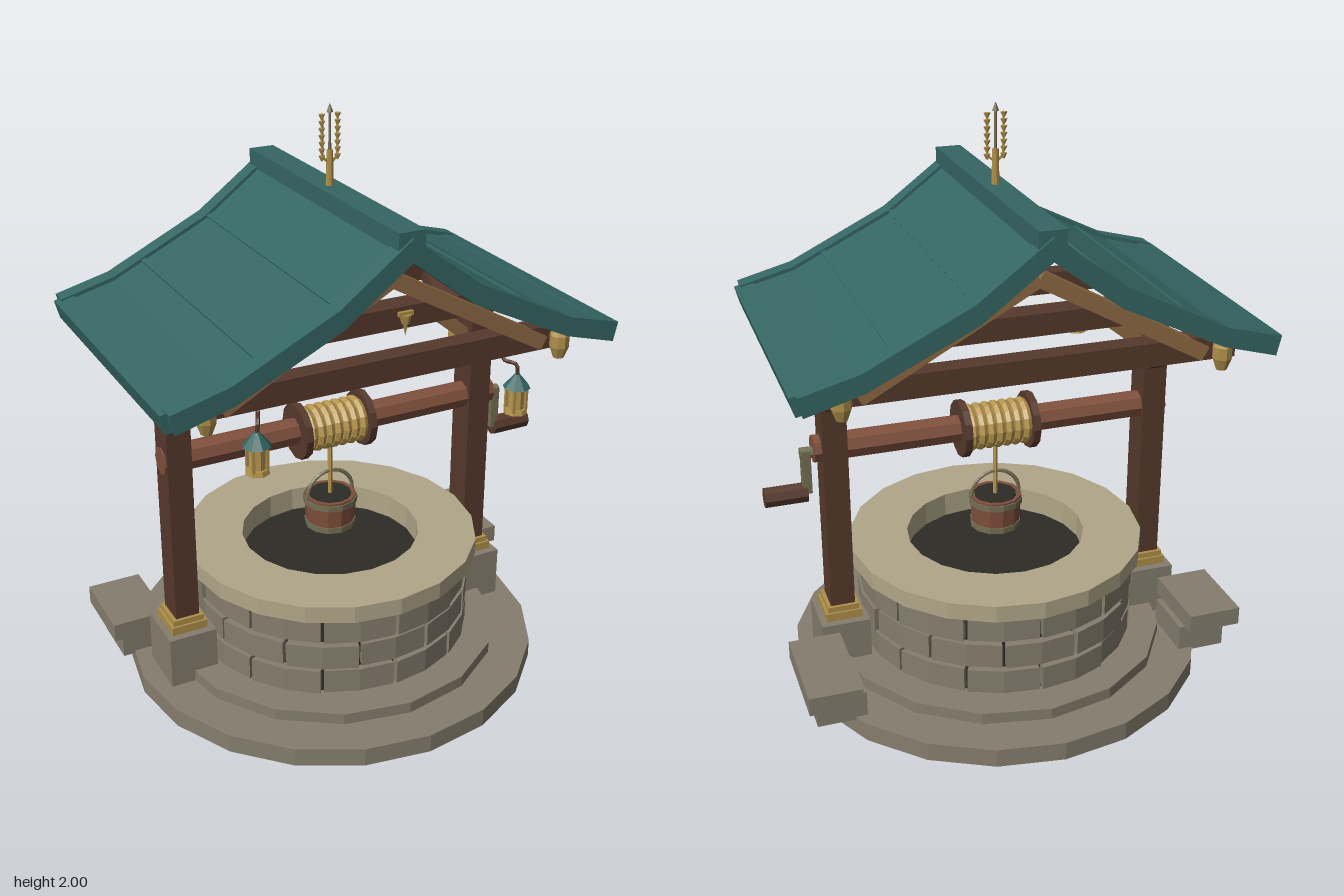
import * as THREE from 'three';

const mat = (name, color) => {
  const m = new THREE.MeshStandardMaterial({ color });
  m.name = name;
  return m;
};

export function createModel() {
  const stone = mat('stone', 0x857d6d), rimStone = mat('pale rim stone', 0xb0a688);
  const darkWood = mat('dark wood', 0x56392c), redWood = mat('red wood', 0x7f4f3c);
  const paleWood = mat('pale wood', 0x8f6a44), teal = mat('teal roof', 0x356663);
  const brass = mat('brass', 0xb0904a), rope = mat('rope', 0xb8964f);
  const iron = mat('olive iron', 0x757054), dark = mat('well shadow', 0x2c2b25);

  const root = new THREE.Group();
  root.name = 'well';
  const well = new THREE.Group();
  well.name = 'wellParts';
  well.position.x = -0.013;
  root.add(well);

  // Faceted mesh helper
  const add = (name, geo, material, x = 0, y = 0, z = 0, parent = well) => {
    const g = geo.index ? geo.toNonIndexed() : geo;
    g.computeVertexNormals();
    const m = new THREE.Mesh(g, material);
    m.name = name;
    m.position.set(x, y, z);
    parent.add(m);
    return m;
  };
  const box = (name, material, w, h, d, x, y, z, parent) =>
    add(name, new THREE.BoxGeometry(w, h, d), material, x, y, z, parent);
  const cyl = (name, material, rt, rb, h, n, x, y, z, parent) =>
    add(name, new THREE.CylinderGeometry(rt, rb, h, n), material, x, y, z, parent);
  const lathe = (name, material, pts, n, x, y, z, parent) =>
    add(name, new THREE.LatheGeometry(pts.map(p => new THREE.Vector2(...p)), n), material, x, y, z, parent);
  const strut = (name, material, a, b, w, d) => {
    const A = new THREE.Vector3(...a), B = new THREE.Vector3(...b), dir = B.clone().sub(A);
    const m = box(name, material, w, dir.length(), d, ...A.clone().add(B).multiplyScalar(0.5).toArray());
    m.quaternion.setFromUnitVectors(new THREE.Vector3(0, 1, 0), dir.normalize());
    return m;
  };
  const extrude = (pts, depth) =>
    new THREE.ExtrudeGeometry(new THREE.Shape(pts.map(p => new THREE.Vector2(...p))), { depth, bevelEnabled: false });

  // Round stepped base
  cyl('basePlate', stone, 0.73, 0.73, 0.065, 20, 0, 0.0325, 0);
  cyl('baseStep', stone, 0.595, 0.595, 0.04, 16, 0, 0.085, 0);

  // Dark core and water level, seen between the stones and down the shaft
  cyl('wellCore', dark, 0.462, 0.462, 0.28, 24, 0, 0.245, 0);

  // Three staggered courses of wall stones
  const stoneArc = (r0, r1, half) => {
    const pts = [];
    for (const a of [-half, 0, half]) pts.push([r1 * Math.cos(a), r1 * Math.sin(a)]);
    for (const a of [half, 0, -half]) pts.push([r0 * Math.cos(a), r0 * Math.sin(a)]);
    return pts;
  };
  for (let row = 0; row < 3; row++) {
    for (let i = 0; i < 12; i++) {
      const r = 0.487 + ((i * 5 + row * 3) % 4) * 0.003;
      const g = extrude(stoneArc(0.33, r, Math.PI / 12 - 0.012), 0.086).rotateX(-Math.PI / 2);
      g.rotateY((i + (row % 2 ? 0 : 0.5)) * Math.PI / 6);
      add('wallStone', g, stone, 0, 0.115 + row * 0.1, 0);
    }
  }
  lathe('wellRim', rimStone,
    [[0.315, 0.385], [0.5, 0.405], [0.52, 0.412], [0.52, 0.472], [0.315, 0.472], [0.315, 0.385]], 20, 0, 0, 0);

  // Loose step stones behind each post
  box('stepSlab', stone, 0.18, 0.065, 0.345, 0.69, 0.185, -0.272);
  box('stepBlock', stone, 0.17, 0.1, 0.22, 0.66, 0.105, -0.27);
  box('stepSlab', stone, 0.19, 0.065, 0.28, -0.69, 0.188, -0.26);
  box('stepBlock', stone, 0.17, 0.1, 0.2, -0.66, 0.105, -0.26);

  // Posts with stone feet, brass collars and braces
  for (const s of [-1, 1]) {
    const x = s * 0.575;
    box('postFoot', stone, 0.17, 0.19, 0.2, x, 0.155, 0);
    box('footCollar', brass, 0.127, 0.03, 0.145, x, 0.265, 0);
    box('footCollarTop', brass, 0.11, 0.025, 0.13, x, 0.2875, 0);
    box('post', darkWood, 0.085, 1.0, 0.106, x, 0.75, 0);
    box('topCollar', brass, 0.125, 0.04, 0.145, x, 1.1, 0);
    strut('kneeBrace', paleWood, [s * 0.55, 1.11, 0], [s * 0.4, 1.23, 0], 0.045, 0.05);
    for (const f of [-1, 1])
      strut('sideBrace', darkWood, [x, 1.05, f * 0.03], [x, 1.24, f * 0.32], 0.06, 0.045);
  }

  // Long beams and their brass end ornaments
  box('centreBeam', darkWood, 1.3, 0.08, 0.09, 0, 1.248, 0);
  for (const f of [-1, 1]) {
    box('eaveBeam', darkWood, 1.365, 0.08, 0.07, 0, 1.248, f * 0.375);
    for (const s of [-1, 1])
      lathe('beamOrnament', brass,
        [[0, -0.06], [0.018, -0.055], [0.033, -0.015], [0.033, 0.025], [0.02, 0.05], [0, 0.055]], 8,
        s * 0.625, 1.235, f * 0.432);
    for (const s of [-1, 1])
      strut('rafter', paleWood, [0, 1.55, f * 0.4], [s * 0.57, 1.235, f * 0.4], 0.05, 0.05);
  }

  // Curved roof: panels, gable boards, eave boards and battens
  const top = [[0, 1.715], [0.24, 1.535], [0.585, 1.365], [0.775, 1.315]];
  const low = [[0, 1.64], [0.225, 1.47], [0.575, 1.302], [0.76, 1.25]];
  const mirror = p => [-p[0], p[1]];
  const roofProfile = (t, l) => [
    ...l.slice(1).reverse().map(mirror), ...l, ...t.slice().reverse(), ...t.slice(1).map(mirror)];
  const shift = (pts, dy) => pts.map(([x, y]) => [x, y + dy]);
  const panelTop = shift(top, -0.013);
  add('roofPanels', extrude(roofProfile(panelTop, shift(low, 0.012)), 0.97), teal, 0, 0, -0.485);
  for (const f of [-1, 1])
    add('gableBoard', extrude(roofProfile(top, low), 0.063), teal, 0, 0, f * 0.507 - 0.0315);
  const roofAt = x => {
    let i = 0;
    while (i < 2 && x > panelTop[i + 1][0]) i++;
    const [a, b] = [panelTop[i], panelTop[i + 1]];
    const slope = (b[1] - a[1]) / (b[0] - a[0]);
    return [a[1] + (x - a[0]) * slope, Math.atan(slope)];
  };
  for (const s of [-1, 1]) {
    box('eaveBoard', teal, 0.066, 0.066, 1.01, s * 0.752, 1.281, 0).rotation.z = -s * 0.26;
    for (const x of [0.228, 0.475]) {
      const [y, a] = roofAt(x);
      box('roofBatten', teal, 0.016, 0.014, 0.955, s * x, y, 0).rotation.z = s * a;
    }
  }
  box('ridgeCap', teal, 0.09, 0.06, 1.06, 0, 1.705, 0);

  // Roof finial: rod, arrow tip and two ears of grain
  cyl('finialRod', brass, 0.011, 0.014, 0.12, 8, 0, 1.79, 0);
  cyl('finialStem', iron, 0.004, 0.005, 0.15, 6, 0, 1.91, 0);
  cyl('finialTip', iron, 0, 0.012, 0.03, 4, 0, 1.985, 0);
  for (const s of [-1, 1]) {
    strut('grainStem', brass, [0, 1.805, 0], [s * 0.028, 1.83, 0], 0.007, 0.007);
    cyl('grainStalk', brass, 0.004, 0.004, 0.14, 5, s * 0.027, 1.89, 0);
    for (let i = 0; i < 7; i++)
      cyl('grain', brass, 0.012, 0.003, 0.018, 4, s * 0.028, 1.825 + i * 0.022, 0);
  }

  // Gable pendant
  box('pendantBar', brass, 0.05, 0.014, 0.012, 0, 1.47, 0.5);
  cyl('pendantBody', brass, 0.02, 0.012, 0.03, 6, 0, 1.452, 0.5);
  cyl('pendantTip', brass, 0.008, 0, 0.04, 6, 0, 1.418, 0.5);

  // Windlass with spool and coiled rope
  const along = (name, material, r, h, x, y, n) =>
    (cyl(name, material, r, r, h, n, x, y, 0).rotation.z = Math.PI / 2);
  along('windlassLog', redWood, 0.049, 1.265, 0.01, 0.887, 8);
  for (const s of [-1, 1]) along('spoolFlange', darkWood, 0.1, 0.025, s * 0.122, 0.885, 12);
  along('ropeCore', rope, 0.07, 0.22, 0, 0.885, 12);
  for (let i = 0; i < 7; i++) {
    const g = new THREE.TorusGeometry(0.068, 0.016, 6, 14).rotateY(Math.PI / 2);
    add('ropeCoil', g, rope, (i - 3) * 0.032, 0.885, 0);
  }
  cyl('hangingRope', rope, 0.008, 0.008, 0.21, 6, 0, 0.71, 0);

  // Crank
  along('crankAxle', iron, 0.02, 0.06, 0.655, 0.875, 8);
  box('crankArm', iron, 0.03, 0.155, 0.042, 0.667, 0.81, 0);
  along('crankHandle', darkWood, 0.035, 0.145, 0.74, 0.73, 8);

  // Bucket
  lathe('bucketStaves', redWood,
    [[0, 0.495], [0.086, 0.495], [0.093, 0.615], [0.078, 0.615], [0.072, 0.52], [0, 0.52]], 12, 0, 0, 0);
  for (const [y, r] of [[0.507, 0.091], [0.597, 0.097]])
    cyl('bucketBand', iron, r, r - 0.001, 0.022, 12, 0, y, 0).geometry.name = 'band';
  cyl('bucketInside', dark, 0.075, 0.075, 0.005, 12, 0, 0.613, 0);
  add('bucketHandle', new THREE.TorusGeometry(0.088, 0.007, 6, 14, Math.PI), iron, 0, 0.615, 0);

  // Two front lanterns on bent hooks
  for (const s of [-1, 1]) {
    const lamp = new THREE.Group();
    lamp.name = 'lantern';
    lamp.position.set(s * 0.466, 0, 0.433);
    well.add(lamp);
    const hook = new THREE.CatmullRomCurve3([
      new THREE.Vector3(-s * 0.03, 1.225, -0.06), new THREE.Vector3(-s * 0.025, 1.19, -0.045),
      new THREE.Vector3(-s * 0.005, 1.185, 0), new THREE.Vector3(0, 1.135, 0)]);
    add('lanternHook', new THREE.TubeGeometry(hook, 10, 0.007, 5), darkWood, 0, 0, 0, lamp);
    cyl('lanternCap', teal, 0.018, 0.046, 0.035, 8, 0, 1.122, 0, lamp);
    cyl('lanternKnob', teal, 0.008, 0.018, 0.012, 8, 0, 1.145, 0, lamp);
    cyl('lanternGlass', rope, 0.027, 0.027, 0.08, 8, 0, 1.065, 0, lamp);
    cyl('lanternBase', brass, 0.036, 0.04, 0.016, 8, 0, 1.022, 0, lamp);
    for (let i = 0; i < 4; i++) {
      const a = Math.PI / 4 + i * Math.PI / 2;
      box('lanternBar', brass, 0.009, 0.085, 0.009, Math.cos(a) * 0.033, 1.066, Math.sin(a) * 0.033, lamp);
    }
  }

  return root;
}
